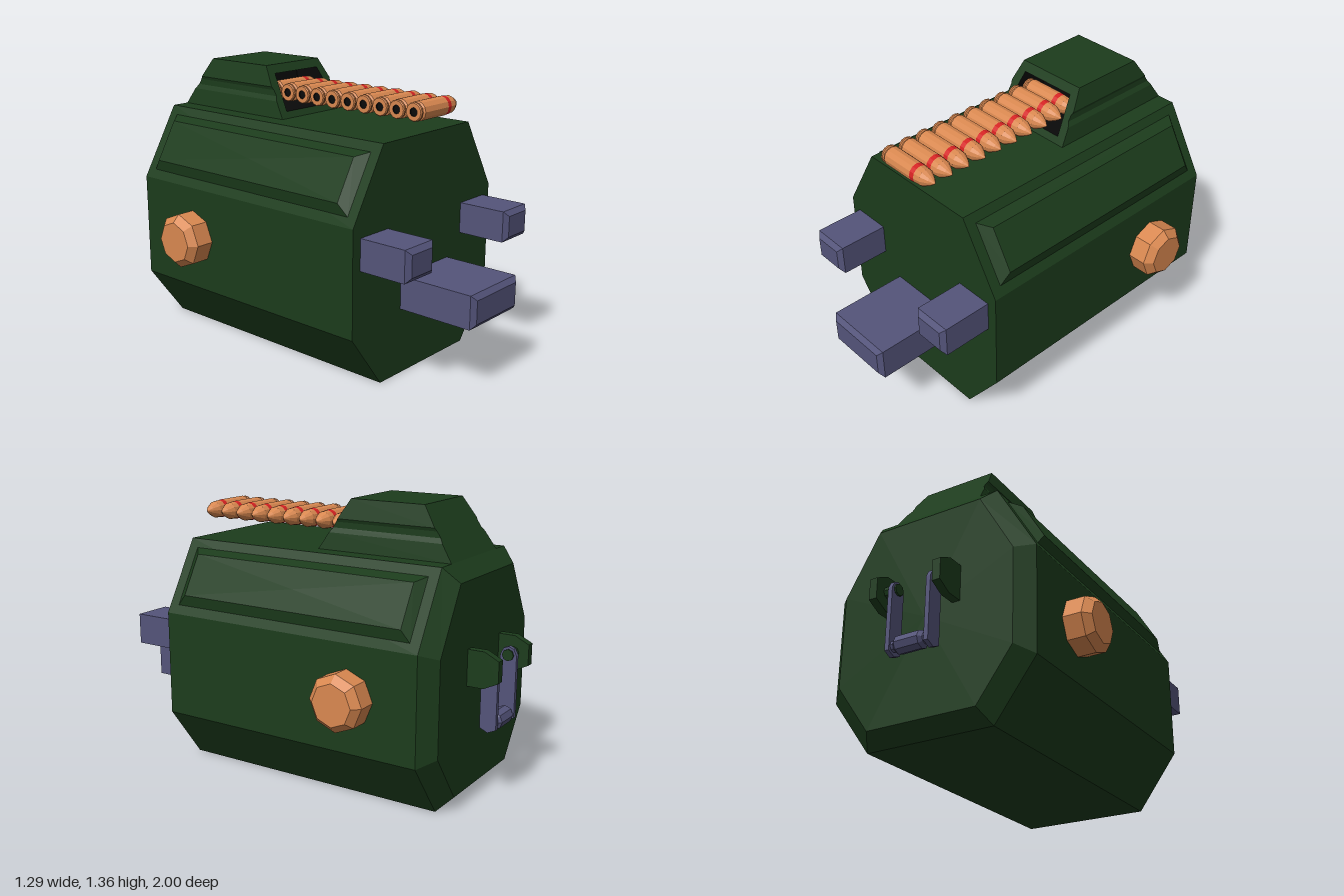
import * as THREE from 'three';

const mat = (color) => new THREE.MeshStandardMaterial({ color, flatShading: true });
const GREEN = mat(0x1c3c1c), PURPLE = mat(0x54547a), COPPER = mat(0xd98850);
const RED = mat(0xd42222), BLACK = mat(0x0a0a0a);

// Skins a stack of equal-length rings; each ring runs counter-clockwise seen from the last ring's side.
function loft(rings, capFirst = true, capLast = true) {
  const pos = [];
  const tri = (...pts) => pts.forEach((p) => pos.push(...p));
  const n = rings[0].length;
  for (let k = 0; k + 1 < rings.length; k++) {
    for (let i = 0; i < n; i++) {
      const j = (i + 1) % n, A = rings[k], B = rings[k + 1];
      tri(A[i], A[j], B[j]);
      tri(A[i], B[j], B[i]);
    }
  }
  const cap = (ring, flip) => {
    const c = [0, 1, 2].map((d) => ring.reduce((s, p) => s + p[d], 0) / n);
    for (let i = 0; i < n; i++) {
      const j = (i + 1) % n;
      if (flip) tri(c, ring[j], ring[i]);
      else tri(c, ring[i], ring[j]);
    }
  };
  if (capFirst) cap(rings[0], true);
  if (capLast) cap(rings[rings.length - 1], false);
  const g = new THREE.BufferGeometry();
  g.setAttribute('position', new THREE.Float32BufferAttribute(pos, 3));
  g.computeVertexNormals();
  return g;
}

// Closes a right-hand outline (bottom to top) with its mirror image.
const mirrored = (half) => [...half, ...half.map(([x, y]) => [-x, y]).reverse()];

// Lathe whose axis points along +x (dir = 1) or -x (dir = -1).
const latheX = (pts, sides, dir = 1) =>
  new THREE.LatheGeometry(pts.map(([r, h]) => new THREE.Vector2(r, h)), sides).rotateZ(-dir * Math.PI / 2);

// Side-view outline (distance towards the back, height), extruded across x.
function plate(pts, thickness, x) {
  const shape = new THREE.Shape(pts.map(([a, b]) => new THREE.Vector2(a, b)));
  return new THREE.ExtrudeGeometry(shape, { depth: thickness, bevelEnabled: false })
    .rotateY(Math.PI / 2).translate(x - thickness / 2, 0, 0);
}

export function createModel() {
  const model = new THREE.Group();
  const add = (name, geometry, material, parent = model) => {
    const m = new THREE.Mesh(geometry, material);
    m.name = name;
    parent.add(m);
    return m;
  };

  // Octagonal body with a chamfered back
  const oct = mirrored([[0.32, 0], [0.52, 0.27], [0.52, 0.78], [0.32, 1.12]]);
  add('body', loft([
    oct.map(([x, y]) => [x * 0.86, 0.56 + (y - 0.56) * 0.875, -0.85]),
    oct.map(([x, y]) => [x, y, -0.78]),
    oct.map(([x, y]) => [x, y, 0.6]),
  ]), GREEN);

  // Raised panels and side knobs
  const rect = (s, [x0, y0], [x1, y1], zf, zb) => {
    const r = [[s * x0, y0, zf], [s * x0, y0, zb], [s * x1, y1, zb], [s * x1, y1, zf]];
    return s > 0 ? r : r.reverse();
  };
  for (const s of [1, -1]) {
    const side = s > 0 ? 'left' : 'right';
    add(side + 'Panel', loft([
      rect(s, [0.496, 0.82], [0.343, 1.08], 0.55, -0.73),
      rect(s, [0.507, 0.875], [0.4, 1.06], 0.5, -0.69),
    ], false), GREEN);
    add(side + 'Knob', latheX([[0.135, 0], [0.135, 0.11], [0.1, 0.145], [0, 0.145]], 8, s), COPPER)
      .position.set(s * 0.5, 0.53, -0.43);
  }

  // Bevelled front blocks
  const block = (name, cx, cy, w, h, z) => {
    const ring = (inset, zz) => [[-1, -1], [1, -1], [1, 1], [-1, 1]]
      .map(([a, b]) => [cx + a * (w / 2 - inset), cy + b * (h / 2 - inset), zz]);
    add(name, loft([ring(0, 0.58), ring(0, z - 0.02), ring(0.024, z)]), PURPLE);
  };
  block('leftBlock', 0.375, 0.655, 0.19, 0.15, 0.86);
  block('rightBlock', -0.375, 0.655, 0.19, 0.15, 0.86);
  block('centreBlock', 0, 0.4, 0.36, 0.16, 1);

  // Feed hood with grooved sides, sloping ends and a dark opening
  const outline = mirrored([[0.23, 1.12], [0.217, 1.2], [0.203, 1.222], [0.203, 1.25], [0.209, 1.265], [0.185, 1.36]]);
  const t = (y) => (y - 1.12) / 0.24;
  const zFront = (y) => -0.09 - 0.15 * t(y);
  const opening = outline.map(([x, y]) => [Math.sign(x) * (0.18 - 0.03 * t(y)), 1.15 + 0.17 * t(y)]);
  const mouth = opening.map(([x, y]) => [x, y, zFront(y)]);
  add('feedHood', loft([
    outline.map(([x, y]) => [x, y, -0.78 + 0.16 * t(y)]),
    outline.map(([x, y]) => [x, y, zFront(y)]),
    mouth,
  ], true, false), GREEN);
  add('feedOpening', loft([mouth, opening.map(([x, y]) => [x, y, -0.36])], false, true), BLACK);

  // Belt of cartridges
  const parts = [
    ['case', [[0.02, -0.147], [0.04, -0.147], [0.044, -0.142], [0.044, -0.134], [0.037, -0.13],
      [0.037, -0.124], [0.046, -0.118], [0.046, 0.055]], COPPER],
    ['band', [[0.046, 0.055], [0.044, 0.08]], RED],
    ['tip', [[0.044, 0.08], [0.041, 0.115], [0.022, 0.15], [0, 0.178]], COPPER],
    ['primer', [[0, -0.14], [0.02, -0.14], [0.02, -0.147]], BLACK],
  ].map(([name, pts, m]) => [name, latheX(pts, 12), m]);
  parts[3][2] = BLACK.clone();
  parts[3][2].side = THREE.DoubleSide;
  for (let i = 0; i < 10; i++) {
    const round = new THREE.Group();
    round.name = 'cartridge' + (i + 1);
    for (const [name, g, m] of parts) add(name, g, m, round);
    round.position.set(0, 1.235, 0.625 - i * 0.095);
    model.add(round);
  }

  // Rear handle hung between two brackets
  const bracket = [[0.84, 0.57], [0.93, 0.57], [1, 0.605], [1, 0.705], [0.93, 0.74], [0.84, 0.74]];
  const arm = [[0.885, 0.36], [0.925, 0.342], [0.965, 0.36], [0.965, 0.66], [0.95, 0.69], [0.925, 0.7], [0.9, 0.69], [0.885, 0.66]];
  for (const s of [1, -1]) {
    const side = s > 0 ? 'left' : 'right';
    add(side + 'Bracket', plate(bracket, 0.04, s * 0.165), GREEN);
    add(side + 'HandleArm', plate(arm, 0.022, s * 0.1), PURPLE);
    add(side + 'Pin', latheX([[0, 0], [0.028, 0], [0.028, 0.07], [0, 0.07]], 8, s), GREEN)
      .position.set(s * 0.08, 0.66, -0.925);
  }
  add('handleGrip', latheX([[0.026, -0.1], [0.026, -0.075], [0.042, -0.06], [0.042, 0.06], [0.026, 0.075], [0.026, 0.1]], 8), PURPLE)
    .position.set(0, 0.385, -0.932);

  return model;
}
